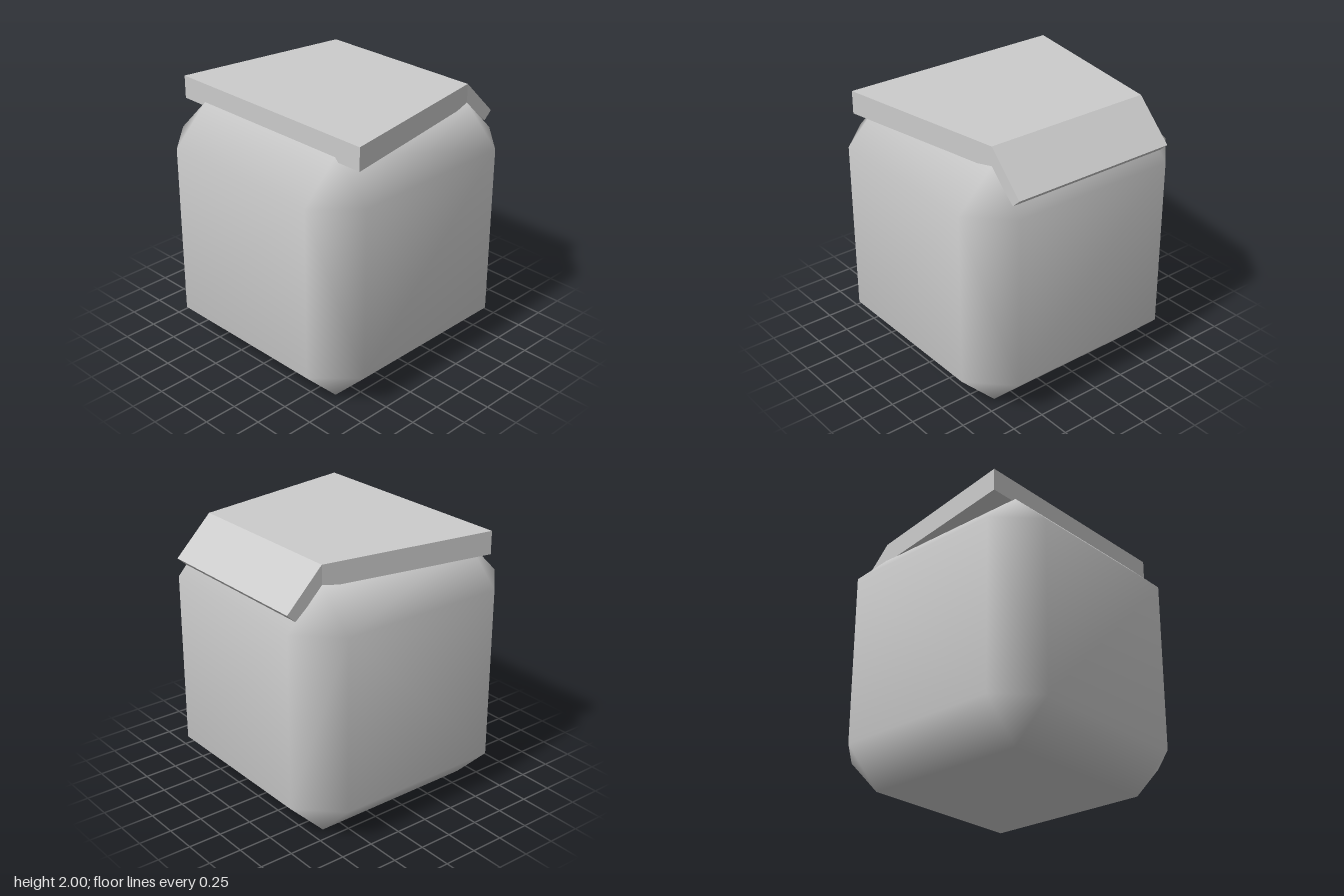
import * as THREE from 'three';
import { ConvexGeometry } from 'three/addons/geometries/ConvexGeometry.js';

const HALF = 0.93, FLAT = 0.65, CENTRE_Y = 0.935;

// Chamfered cube: every axis gets a square of four corners at each end
function chamferedCube() {
  const points = [];
  for (let axis = 0; axis < 3; axis++)
    for (const s of [-1, 1]) for (const u of [-1, 1]) for (const v of [-1, 1]) {
      const p = new THREE.Vector3();
      p.setComponent(axis, s * HALF);
      p.setComponent((axis + 1) % 3, u * FLAT);
      p.setComponent((axis + 2) % 3, v * FLAT);
      points.push(p);
    }
  const geometry = new ConvexGeometry(points);

  // Soft normals: nearly flat on the six faces, blending over the chamfers
  const { position, normal } = geometry.attributes;
  const n = new THREE.Vector3();
  const soften = (c) => Math.sign(c) * (Math.abs(c) > (HALF + FLAT) / 2 ? 1 : 0.15);
  for (let i = 0; i < position.count; i++) {
    n.fromBufferAttribute(position, i);
    n.set(soften(n.x), soften(n.y), soften(n.z)).normalize();
    normal.setXYZ(i, n.x, n.y, n.z);
  }
  return geometry;
}

// Folded slab lofted through cross-sections: [top x, top y, bottom x, bottom y, half depth]
function foldedSlab(sections) {
  const rings = sections.map(([tx, ty, bx, by, d]) => [
    [tx, ty, d], [tx, ty, -d], [bx, by, -d], [bx, by, d],
  ]);
  const out = [];
  const quad = (a, b, c, d) => out.push(...a, ...b, ...c, ...a, ...c, ...d);
  for (let k = 0; k < rings.length - 1; k++)
    for (let i = 0; i < 4; i++) {
      const j = (i + 1) % 4;
      quad(rings[k][i], rings[k + 1][i], rings[k + 1][j], rings[k][j]);
    }
  quad(...rings[0]);
  quad(...[...rings[rings.length - 1]].reverse());
  const geometry = new THREE.BufferGeometry();
  geometry.setAttribute('position', new THREE.Float32BufferAttribute(out, 3));
  geometry.computeVertexNormals();
  return geometry;
}

export function createModel() {
  const group = new THREE.Group();
  group.name = 'chamferedBlockWithLid';

  const body = new THREE.Mesh(chamferedCube(), new THREE.MeshStandardMaterial({ color: 0xcccccc }));
  body.name = 'body';
  body.position.y = CENTRE_Y;

  // Lid: wide at the left-hand end, tapering to the fold, then bent down over the chamfer
  const lid = new THREE.Mesh(
    foldedSlab([
      [-0.655, 2, -0.655, 1.83, 0.87],
      [0.65, 2, 0.65, 1.84, 0.655],
      [0.93, 1.72, 0.865, 1.66, 0.655],
    ]),
    new THREE.MeshStandardMaterial({ color: 0xcccccc, flatShading: true }),
  );
  lid.name = 'lid';

  group.add(body, lid);
  return group;
}
